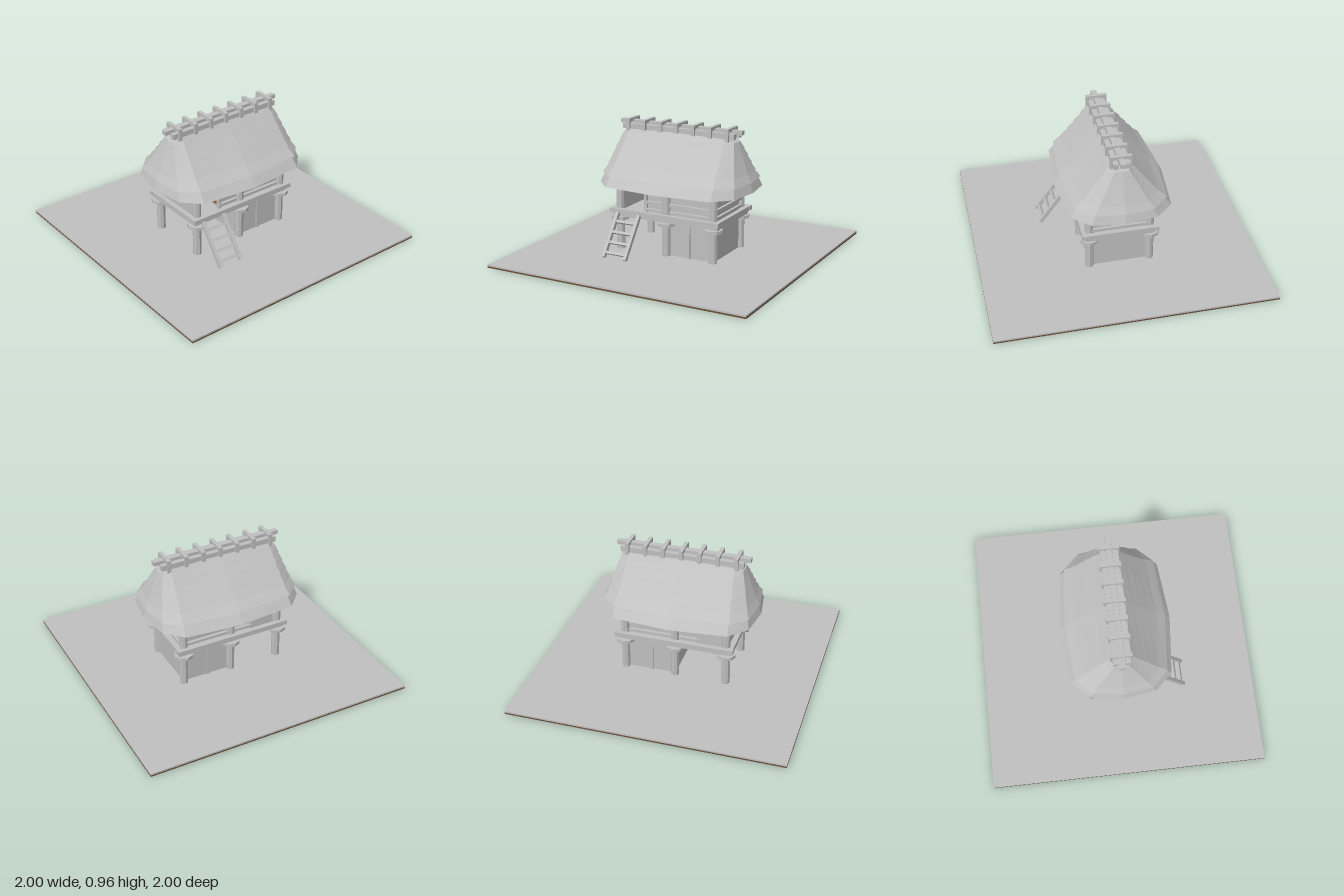
import * as THREE from 'three';

const mat = (name, color, extra = {}) => {
  const m = new THREE.MeshStandardMaterial({ color, ...extra });
  m.name = name;
  return m;
};

export function createModel() {
  const model = new THREE.Group();
  model.name = 'stiltHouse';
  const grey = mat('weatheredGrey', 0xc0c0c0, { flatShading: true });
  const brown = mat('darkEarth', 0x6b4f3a, { flatShading: true });
  const doorBrown = mat('doorWood', 0x94622f, { flatShading: true });

  const add = (name, geo, material = grey) => {
    const mesh = new THREE.Mesh(geo, material);
    mesh.name = name;
    model.add(mesh);
    return mesh;
  };
  // Box given by its limits on each axis
  const box = (name, x0, x1, y0, y1, z0, z1, material) => {
    const mesh = add(name, new THREE.BoxGeometry(x1 - x0, y1 - y0, z1 - z0), material);
    mesh.position.set((x0 + x1) / 2, (y0 + y1) / 2, (z0 + z1) / 2);
    return mesh;
  };

  // Ground slab: grey surface over earth
  box('groundSurface', -1, 1, 0.013, 0.025, -1, 1);
  box('groundEarth', -1, 1, 0.002, 0.013, -1, 1, brown);

  // Six posts with round guard discs
  for (const x of [-0.38, 0, 0.375]) {
    for (const z of [-0.22, 0.22]) {
      add('post', new THREE.CylinderGeometry(0.031, 0.031, 0.6, 8)).position.set(x, 0.3, z);
      add('guardDisc', new THREE.CylinderGeometry(0.07, 0.07, 0.023, 8)).position.set(x, 0.263, z);
    }
  }

  // Deck and its edge beams
  box('deck', -0.42, 0.42, 0.275, 0.315, -0.25, 0.25);
  for (const s of [-1, 1]) {
    box('deckLongBeam', -0.44, 0.44, 0.302, 0.335, s * 0.26 - 0.017, s * 0.26 + 0.017);
    box('deckEndBeam', s * 0.42 - 0.017, s * 0.42 + 0.017, 0.302, 0.335, -0.25, 0.25);
  }

  // Lower storeroom with door battens
  box('lowerRoom', 0, 0.375, 0.02, 0.276, -0.21, 0.21);
  for (const s of [-1, 1]) {
    box('lowerBatten', 0.165, 0.19, 0.025, 0.276, s * 0.213 - 0.007, s * 0.213 + 0.007);
  }

  // Upper room, rails and porch parapets
  box('upperRoom', -0.17, 0.375, 0.31, 0.6, -0.205, 0.205);
  for (const y of [0.345, 0.4, 0.49]) {
    for (const s of [-1, 1]) {
      box('wallRail', -0.18, 0.4, y - 0.009, y + 0.009, s * 0.215 - 0.014, s * 0.215 + 0.014);
    }
    box('endRail', 0.37, 0.395, y - 0.009, y + 0.009, -0.21, 0.21);
  }
  for (const s of [-1, 1]) {
    box('cornerStud', -0.182, -0.16, 0.31, 0.6, s * 0.205 - 0.015, s * 0.205 + 0.015);
  }
  box('porchBackWall', -0.38, -0.17, 0.31, 0.46, -0.215, -0.195);
  box('porchEndWall', -0.39, -0.37, 0.31, 0.46, -0.21, 0.21);
  box('door', -0.178, -0.17, 0.335, 0.47, 0.04, 0.185, doorBrown);

  // Ladder leaning on the deck
  const foot = new THREE.Vector3(0, 0.035, 0.475);
  const head = new THREE.Vector3(0, 0.3, 0.28);
  const run = head.clone().sub(foot);
  const lean = Math.atan2(run.z, run.y);
  for (const x of [-0.368, -0.192]) {
    const rail = add('ladderRail', new THREE.BoxGeometry(0.024, run.length() + 0.02, 0.028));
    rail.position.copy(foot).lerp(head, 0.5).setX(x);
    rail.rotation.x = lean;
  }
  for (const t of [0.09, 0.33, 0.57, 0.82]) {
    const rung = add('ladderRung', new THREE.BoxGeometry(0.19, 0.02, 0.022));
    rung.position.copy(foot).lerp(head, t).setX(-0.28);
    rung.rotation.x = lean;
  }

  // Thatch: rings blend from the eaves to the ridge
  const eave = [[0.575, 0.51, 0], [0.54, 0.51, 0.235], [0.42, 0.51, 0.36], [0, 0.51, 0.4]];
  const crown = [[0.45, 0.86, 0], [0.445, 0.862, 0.05], [0.385, 0.885, 0.068], [0, 0.893, 0.072]];
  const ring = (t, lip = 0, zScale = 1) => {
    const q = eave.map((e, i) => {
      const p = e.map((v, k) => v + (crown[i][k] - v) * t);
      return [p[0] + lip * 0.5 * e[0] / 0.575, p[1], (p[2] + lip * e[2] / 0.4) * zScale];
    });
    const flip = (p, sx, sz) => [p[0] * sx, p[1], p[2] * sz];
    return [
      ...q,
      ...[2, 1, 0].map((i) => flip(q[i], -1, 1)),
      ...[1, 2, 3].map((i) => flip(q[i], -1, -1)),
      ...[2, 1].map((i) => flip(q[i], 1, -1)),
    ];
  };
  const shell = (rings) => {
    const pos = [];
    for (let r = 0; r + 1 < rings.length; r++) {
      const lo = rings[r], hi = rings[r + 1];
      lo.forEach((a, i) => {
        const j = (i + 1) % lo.length;
        pos.push(...lo[j], ...a, ...hi[i], ...lo[j], ...hi[i], ...hi[j]);
      });
    }
    const geo = new THREE.BufferGeometry();
    geo.setAttribute('position', new THREE.Float32BufferAttribute(pos, 3));
    geo.computeVertexNormals();
    return geo;
  };
  const levels = [0, 0.2, 0.36, 0.52, 0.68, 0.84, 1];
  const courses = [];
  for (let i = 0; i < 6; i++) {
    const lip = [0, 0.027, 0.014, 0.012, 0.012, 0.01][i];
    courses.push(ring(levels[i], lip), ring(levels[i + 1]));
  }
  add('thatchRoof', shell([...courses, ring(1, 0, 0)]));
  // Brown lining seen under the eaves
  add('roofLining', shell([ring(0.97, -0.02, 0), ring(0.97, -0.02), ring(0, -0.02), ring(0)]), brown);

  // Ridge poles and saddle clamps
  box('ridgePole', -0.49, 0.49, 0.915, 0.945, -0.02, 0.02);
  for (const s of [-1, 1]) {
    box('ridgeSidePole', -0.45, 0.45, 0.885, 0.925, s * 0.043 - 0.018, s * 0.043 + 0.018);
  }
  for (let i = -3; i <= 3; i++) {
    const x = i * 0.133;
    box('clampTop', x - 0.014, x + 0.014, 0.935, 0.96, -0.076, 0.076);
    for (const s of [-1, 1]) {
      box('clampLeg', x - 0.014, x + 0.014, 0.868, 0.94, s * 0.066 - 0.01, s * 0.066 + 0.01);
    }
  }

  return model;
}
